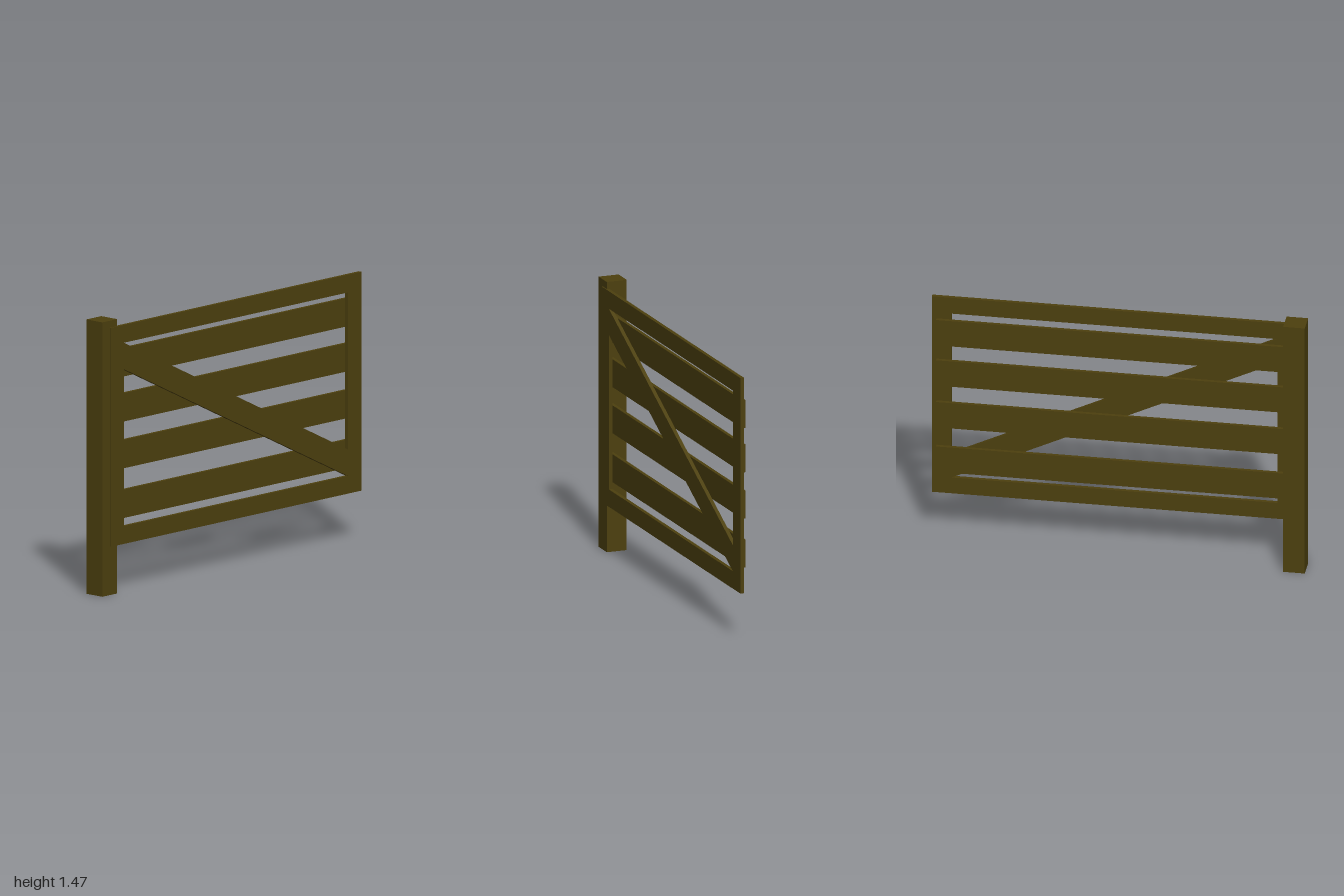
import * as THREE from 'three';

const wood = new THREE.MeshStandardMaterial({ color: 0x4d400e });

export function createModel() {
  const gate = new THREE.Group();
  gate.name = 'gate';

  const add = (name, geometry) => {
    const mesh = new THREE.Mesh(geometry, wood);
    mesh.name = name;
    gate.add(mesh);
  };

  // Box given by its limits on each axis
  const box = (name, [x0, x1], [y0, y1], [z0, z1]) => {
    const geometry = new THREE.BoxGeometry(x1 - x0, y1 - y0, z1 - z0);
    geometry.translate((x0 + x1) / 2, (y0 + y1) / 2, (z0 + z1) / 2);
    add(name, geometry);
  };

  // Flat board cut from an outline, lying at the front of the gate
  const outline = (points) => points.map(([x, y]) => new THREE.Vector2(x, y));
  const board = (name, shape) => {
    const geometry = new THREE.ExtrudeGeometry(shape, { depth: 0.02, bevelEnabled: false });
    geometry.translate(0, 0, 0.04);
    add(name, geometry);
  };

  // Square hinge post
  box('post', [-1, -0.885], [0, 1.473], [-0.06, 0.053]);

  // Rectangular frame with its opening
  const frame = new THREE.Shape(outline([[-0.94, 0.26], [1, 0.26], [1, 1.435], [-0.94, 1.435]]));
  frame.holes.push(new THREE.Path(outline([[-0.84, 0.355], [-0.84, 1.34], [0.895, 1.34], [0.895, 0.355]])));
  board('frame', frame);

  // Diagonal brace, mitred flush into the stiles
  board('brace', new THREE.Shape(outline([[-0.84, 1.198], [0.895, 0.355], [0.895, 0.497], [-0.84, 1.34]])));

  // Horizontal slats behind the frame
  [0.469, 0.736, 0.987, 1.229].forEach((y, i) => {
    box(`slat${i + 1}`, [-0.915, 0.975], [y - 0.076, y + 0.076], [0.021, 0.04]);
  });

  return gate;
}
